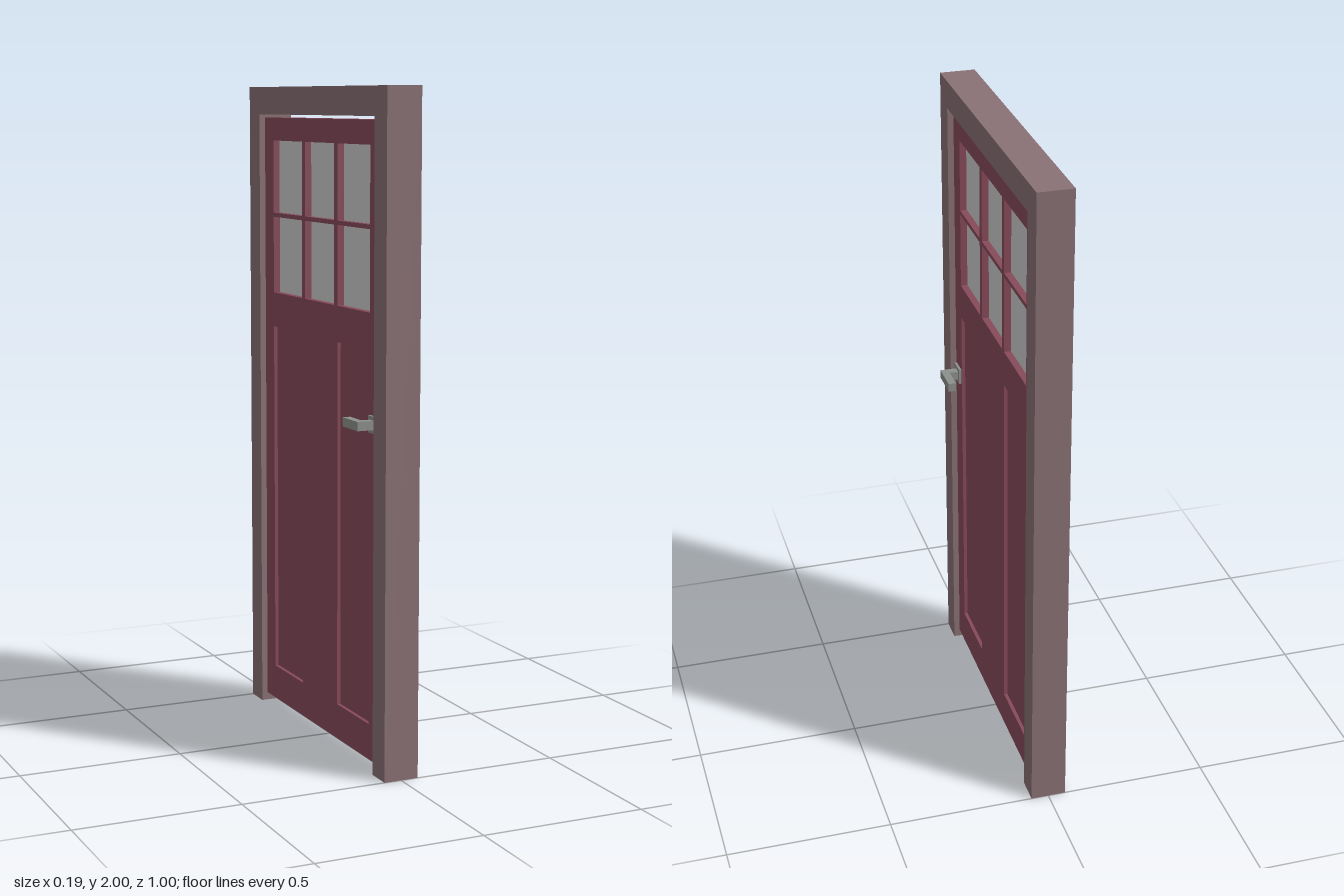
import * as THREE from 'three';

const material = (color) => new THREE.MeshStandardMaterial({ color, flatShading: true });

// Closed outline in the door plane (u along the width, v up)
function outline(Type, points) {
  return new Type(points.map(([u, v]) => new THREE.Vector2(u, v)));
}
const rect = (Type, u0, u1, v0, v1) => outline(Type, [[u0, v0], [u1, v0], [u1, v1], [u0, v1]]);

// Slab of the given thickness, centred on x = 0, standing in the y-z plane
function slab(name, shape, thickness, mat) {
  const geometry = new THREE.ExtrudeGeometry(shape, { depth: thickness, bevelEnabled: false });
  geometry.translate(0, 0, -thickness / 2);
  geometry.rotateY(Math.PI / 2);
  const mesh = new THREE.Mesh(geometry, mat);
  mesh.name = name;
  return mesh;
}

function box(name, x0, x1, y0, y1, z0, z1, mat) {
  const mesh = new THREE.Mesh(new THREE.BoxGeometry(x1 - x0, y1 - y0, z1 - z0), mat);
  mesh.position.set((x0 + x1) / 2, (y0 + y1) / 2, (z0 + z1) / 2);
  mesh.name = name;
  return mesh;
}

export function createModel() {
  const model = new THREE.Group();
  model.name = 'door';
  const frameMat = material(0x897174);
  const doorMat = material(0x874a5a);
  const glassMat = material(0xcccccc);
  const metalMat = material(0x8c908c);

  // Frame: two jambs and a lintel, open at the bottom
  const frame = outline(THREE.Shape, [
    [-0.5, 0], [-0.42, 0], [-0.42, 1.915], [0.42, 1.915],
    [0.42, 0], [0.5, 0], [0.5, 2], [-0.5, 2],
  ]);
  model.add(slab('frame', frame, 0.108, frameMat));

  // Door leaf with six window openings and two tall panel openings
  const leaf = rect(THREE.Shape, -0.42, 0.42, 0.025, 1.905);
  const columns = [[-0.353, -0.13], [-0.107, 0.107], [0.13, 0.353]];
  const rows = [[1.356, 1.595], [1.608, 1.834]];
  for (const [u0, u1] of columns) {
    for (const [v0, v1] of rows) leaf.holes.push(rect(THREE.Path, u0, u1, v0, v1));
  }
  for (const [u0, u1] of [columns[0], columns[2]]) {
    leaf.holes.push(rect(THREE.Path, u0, u1, 0.133, 1.247));
    model.add(box('recessedPanel', -0.024, 0.024, 0.133, 1.247, u0, u1, doorMat));
  }
  model.add(slab('doorLeaf', leaf, 0.07, doorMat));

  // Glass panes set back inside the openings
  for (const [u0, u1] of columns) {
    for (const [v0, v1] of rows) {
      model.add(box('windowPane', -0.014, 0.014, v0, v1, u0, u1, glassMat));
    }
  }

  // Lever handle on each face
  for (const side of [1, -1]) {
    const handle = new THREE.Group();
    handle.name = side > 0 ? 'leftHandle' : 'rightHandle';
    const part = (name, a, b, ...rest) =>
      handle.add(box(name, Math.min(side * a, side * b), Math.max(side * a, side * b), ...rest, metalMat));
    part('backPlate', 0.034, 0.043, 1.01, 1.06, 0.358, 0.412);
    part('spindle', 0.043, 0.07, 1.021, 1.048, 0.37, 0.396);
    part('lever', 0.07, 0.094, 1.021, 1.048, 0.295, 0.396);
    model.add(handle);
  }
  return model;
}
